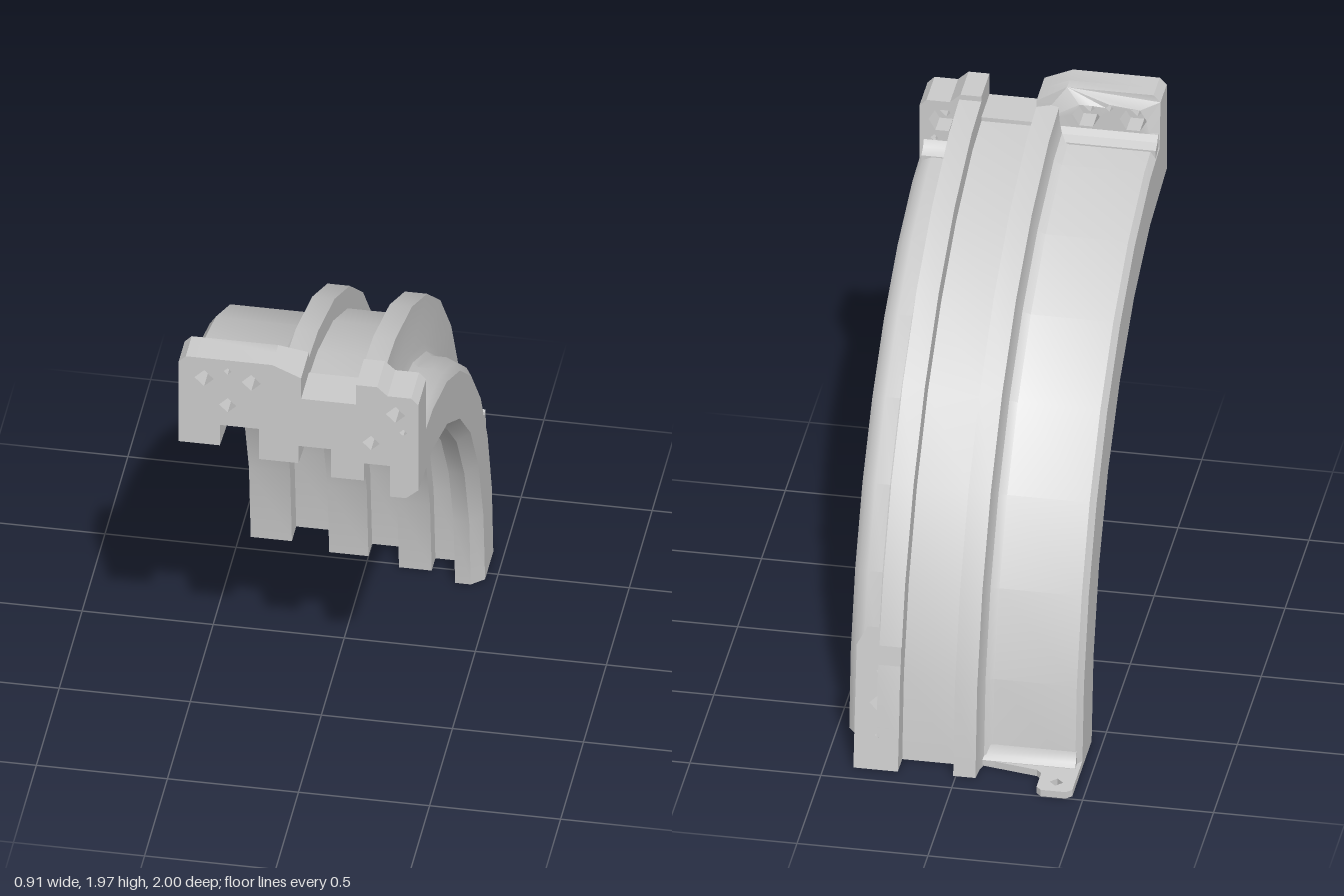
import * as THREE from 'three';
import { toCreasedNormals } from 'three/addons/utils/BufferGeometryUtils.js';

const material = new THREE.MeshStandardMaterial({ color: 0xcccccc, side: THREE.DoubleSide });
const QUARTER = Math.PI / 2;
const OUTER_STEPS = 8, INNER_STEPS = 7;

// Cross-section as [x, radius]; the arc is centred on y = 0, z = 1
const outer = [[-0.457, 1.77], [-0.435, 1.8], [-0.12, 1.8], [-0.09, 1.82], [-0.08, 1.85], [-0.075, 1.915],
  [0.01, 1.915], [0.01, 1.83], [0.22, 1.83], [0.22, 1.915], [0.305, 1.915], [0.312, 1.73], [0.322, 1.7],
  [0.345, 1.685], [0.4, 1.685], [0.435, 1.67], [0.457, 1.64]];
const inner = [[0.457, 1.46], [0.41, 1.418], [0.35, 1.418], [0.35, 1.56], [0.25, 1.56], [0.25, 1.48],
  [0.125, 1.48], [0.125, 1.61], [0, 1.61], [0, 1.53], [-0.15, 1.53], [-0.15, 1.67], [-0.3, 1.67],
  [-0.3, 1.575], [-0.457, 1.575]];
const plateTop = [[-0.457, 1.945], [-0.43, 1.973], [-0.1, 1.973], [0.01, 1.925], [0.01, 1.83], [0.22, 1.83],
  [0.22, 1.92], [0.3, 1.92], [0.34, 1.883], [0.43, 1.883], [0.457, 1.855]];

// Closed shape with regular polygon holes given as [x, y, radius, sides]
function makeShape(points, holes = []) {
  const shape = new THREE.Shape(points.map(([x, y]) => new THREE.Vector2(x, y)));
  for (const [cx, cy, r, sides] of holes) {
    const ring = [];
    for (let i = 0; i < sides; i++) {
      const a = -i / sides * Math.PI * 2;
      ring.push(new THREE.Vector2(cx + r * Math.cos(a), cy + r * Math.sin(a)));
    }
    shape.holes.push(new THREE.Path(ring));
  }
  return shape;
}

function extrude(points, depth, holes) {
  return new THREE.ExtrudeGeometry(makeShape(points, holes), { depth, bevelEnabled: false });
}

// Sweep an open cross-section round the quarter turn
function sweep(profile, steps) {
  const position = [], index = [], n = profile.length;
  for (let i = 0; i <= steps; i++) {
    const t = QUARTER * i / steps;
    for (const [x, r] of profile) position.push(x, r * Math.cos(t), 1 - r * Math.sin(t));
  }
  for (let i = 0; i < steps; i++) {
    for (let j = 0; j < n - 1; j++) {
      const a = i * n + j, b = a + 1, c = a + n, d = c + 1;
      index.push(a, b, c, b, d, c);
    }
  }
  const geometry = new THREE.BufferGeometry();
  geometry.setAttribute('position', new THREE.Float32BufferAttribute(position, 3));
  geometry.setIndex(index);
  return geometry;
}

// Points along the arc as [z, y]
function arc(radius, steps) {
  return Array.from({ length: steps + 1 }, (_, i) => {
    const t = QUARTER * i / steps;
    return [1 - radius * Math.sin(t), radius * Math.cos(t)];
  });
}

function moveVertices(geometry, rule) {
  const p = geometry.attributes.position, v = new THREE.Vector3();
  for (let i = 0; i < p.count; i++) {
    v.fromBufferAttribute(p, i);
    rule(v);
    p.setXYZ(i, v.x, v.y, v.z);
  }
  return geometry;
}

export function createModel() {
  const group = new THREE.Group();
  const add = (name, geometry) => {
    const mesh = new THREE.Mesh(toCreasedNormals(geometry, 0.6), material);
    mesh.name = name;
    group.add(mesh);
  };

  // Curved body: railed outside, stepped inside, flat sides and foot
  add('outerShell', sweep(outer, OUTER_STEPS));
  add('innerShell', sweep(inner, INNER_STEPS));
  for (const [name, x, rOut, rIn] of [['rightSide', -0.457, 1.77, 1.575], ['leftSide', 0.457, 1.64, 1.46]]) {
    const outline = [...arc(rOut, OUTER_STEPS), ...arc(rIn, INNER_STEPS).reverse()];
    const side = new THREE.ShapeGeometry(makeShape(outline));
    side.rotateY(-QUARTER);
    // Mirror the triangle order where the panel faces +x
    if (x > 0) side.index.array.reverse();
    side.translate(x, 0, 0);
    add(name, side);
  }
  const foot = new THREE.ShapeGeometry(makeShape([...outer, ...inner]));
  foot.rotateX(-QUARTER).translate(0, 0, 1);
  foot.index.array.reverse();
  add('footFace', foot);

  // Front mounting plate: square bolt holes in front, hexagonal nut pockets behind
  const outline = [...plateTop, ...inner];
  const bolts = [[-0.36, 1.88], [-0.18, 1.88], [0.37, 1.8]];
  const pins = [[-0.27, 1.922, 0.015, 4], [0.4, 1.72, 0.015, 4]];
  const blind = [[-0.27, 1.765, 0.033, 4], [0.277, 1.658, 0.033, 4]];
  add('frontPlate', extrude(outline, 0.08, [...bolts.map(([x, y]) => [x, y, 0.037, 4]), ...pins, ...blind])
    .translate(0, 0, 0.92));
  const back = extrude(outline, 0.09, [...bolts.map(([x, y]) => [x, y, 0.052, 6]), ...pins]).translate(0, 0, 0.83);
  add('nutPocketPlate', moveVertices(back, v => {
    if (v.z < 0.84 && v.y > 1.942) v.z = 0.87;
  }));

  // Fillets along x, profile given as [z, y]
  const fillet = (name, x0, x1, points) =>
    add(name, extrude(points, x1 - x0).rotateY(-QUARTER).translate(x1, 0, 0));
  fillet('rightPlateFillet', -0.455, -0.08, [[0.84, 1.77], [0.84, 1.825], [0.83, 1.825], [0.815, 1.8], [0.78, 1.785], [0.78, 1.75]]);
  fillet('leftPlateFillet', 0.31, 0.44, [[0.84, 1.64], [0.84, 1.71], [0.83, 1.71], [0.815, 1.685], [0.78, 1.668], [0.78, 1.62]]);
  fillet('tabFillet', -0.44, -0.08, [[-0.76, 0.01], [-0.83, 0.01], [-0.83, 0.03], [-0.81, 0.045], [-0.798, 0.08], [-0.76, 0.08]]);

  // Thin bolt tab at the foot, outline as [x, -z]
  const tab = [[-0.457, 0.7], [-0.08, 0.7], [-0.08, 0.82], [-0.3, 0.86], [-0.32, 0.88], [-0.32, 0.98], [-0.34, 1],
    [-0.435, 1], [-0.457, 0.98]];
  add('footTab', extrude(tab, 0.028, [[-0.388, 0.935, 0.026, 4]]).rotateX(-QUARTER));

  // Boss beside the foot of the left rail, with a leaning back and a sloped top
  const boss = extrude([[0.22, 0], [0.39, 0], [0.39, 0.5], [0.22, 0.5]], 0.3,
    [[0.3, 0.27, 0.035, 4], [0.3, 0.4, 0.012, 4], [0.3, 0.14, 0.012, 4]]);
  add('footBoss', moveVertices(boss, v => {
    const rear = v.z < 0.01;
    v.z = rear ? -0.922 + 0.14 * v.y : -0.62;
    if (!rear && v.y > 0.45) v.y = 0.44;
  }));
  return group;
}
